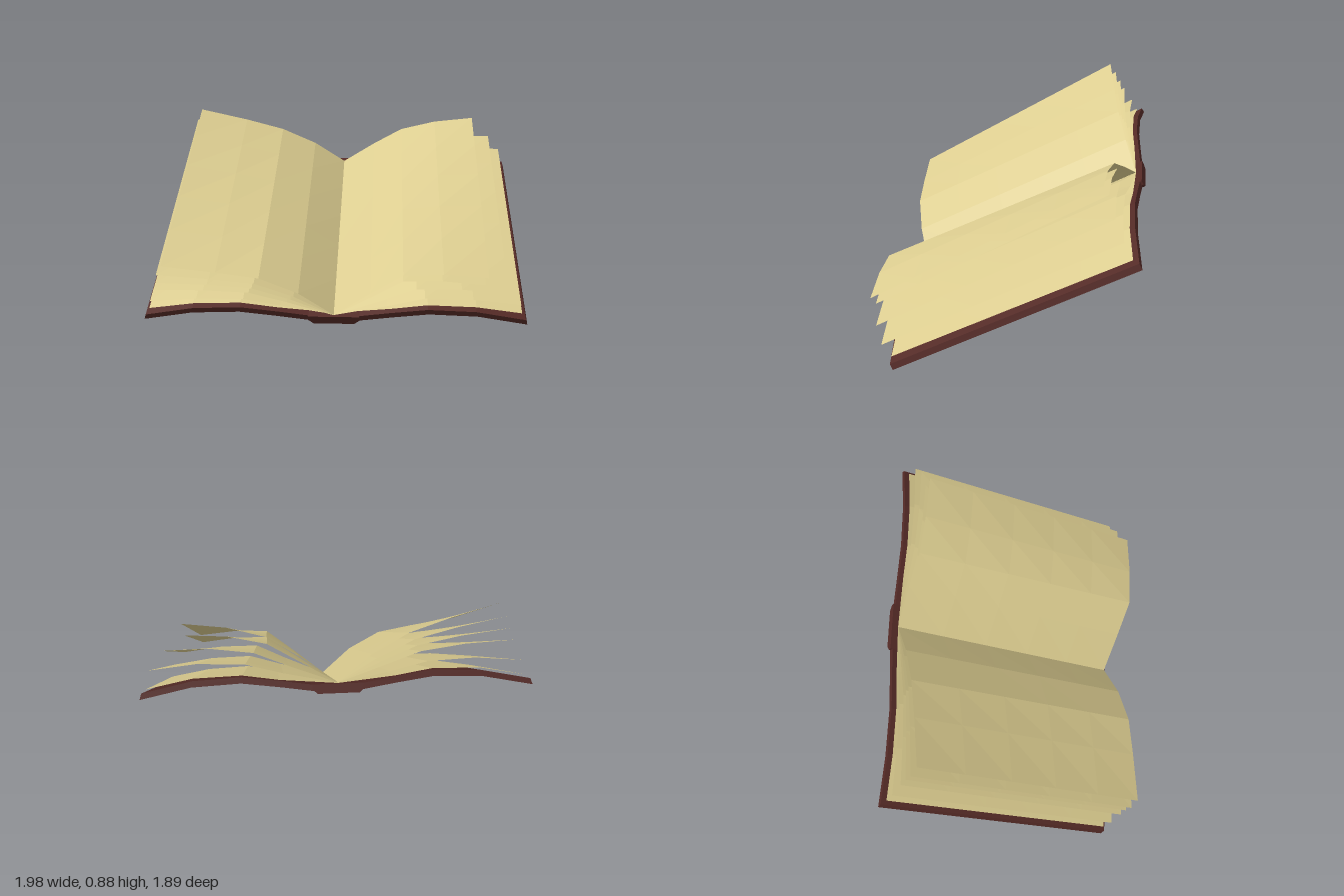
import * as THREE from 'three';

const LENGTH = 1.184; // along the spine
const paper = new THREE.MeshStandardMaterial({ color: 0xdccd90, flatShading: true, side: THREE.DoubleSide });
const leather = new THREE.MeshStandardMaterial({ color: 0x542a26, flatShading: true });
const lerp = THREE.MathUtils.lerp;

// Solid with a constant outline, running back from z = front
function prism(name, points, front, length) {
  const shape = new THREE.Shape(points.map(([x, y]) => new THREE.Vector2(x, y)));
  const geometry = new THREE.ExtrudeGeometry(shape, { depth: length, bevelEnabled: false });
  geometry.translate(0, 0, front - length);
  const mesh = new THREE.Mesh(geometry, leather);
  mesh.name = name;
  return mesh;
}

// Page profiles from spine to outer edge: [distance, height at front, height at back]
const bottomPage = [[0, 0.042, 0.042], [0.25, 0.07, 0.065], [0.41, 0.095, 0.09], [0.62, 0.087, 0.085], [0.82, 0.054, 0.047]];
const topPages = {
  left: [[0, 0.045, 0.045], [0.15, 0.171, 0.16], [0.316, 0.256, 0.247], [0.5, 0.287, 0.305], [0.73, 0.318, 0.366]],
  right: [[0, 0.045, 0.045], [0.16, 0.175, 0.16], [0.3, 0.283, 0.25], [0.47, 0.29, 0.297], [0.66, 0.274, 0.32]],
};

// One curved sheet, t = 0 lies on the cover and t = 1 is the uppermost
function page(name, top, sign, t, extra) {
  const rows = 5;
  const geometry = new THREE.PlaneGeometry(1, 1, 4, rows);
  const pos = geometry.attributes.position;
  for (let r = 0; r <= rows; r++) {
    const v = r / rows;
    for (let c = 0; c <= 4; c++) {
      // keep the sheet's winding facing up on both sides
      const k = sign > 0 ? c : 4 - c;
      const [a, b] = [bottomPage[k], top[k]];
      const x = lerp(a[0], b[0], t) + extra * k / 4;
      const front = lerp(a[1], b[1], t), back = lerp(a[2], b[2], t);
      const zBack = -LENGTH + 0.02, zFront = lerp(-0.018, 0, Math.min(1, t * 3));
      pos.setXYZ(r * 5 + c, sign * x, lerp(back, front, v), lerp(zBack, zFront, v));
    }
  }
  geometry.computeVertexNormals();
  const mesh = new THREE.Mesh(geometry, paper);
  mesh.name = name;
  return mesh;
}

export function createModel() {
  const group = new THREE.Group();
  group.name = 'openBook';
  const book = new THREE.Group();
  book.name = 'tiltedBook';
  group.add(book);

  // Bent cover boards in one strip
  const half = [[0.11, 0.013], [0.245, 0.034], [0.415, 0.057], [0.627, 0.048], [0.845, 0.004]];
  const under = [...half.map(([x, y]) => [-x, y]).reverse(), ...half];
  const over = under.map(([x, y]) => [x * 0.99, y + 0.027]).reverse();
  book.add(prism('cover', [...under, ...over], 0, LENGTH));

  // Raised spine strip beneath the cover
  book.add(prism('spine', [[-0.09, 0], [0.09, 0], [0.112, 0.02], [0.112, 0.041], [-0.112, 0.041], [-0.112, 0.02]], 0.008, LENGTH + 0.018));

  // Fanned pages: [lift, extra width]
  const fans = {
    left: [[0, 0], [0.2, 0.005], [0.48, 0], [0.64, 0], [0.81, 0.01], [1, 0]],
    right: [[0, 0], [0.29, 0.035], [0.59, 0.025], [0.82, -0.04], [1, 0]],
  };
  for (const [side, sign] of [['left', -1], ['right', 1]]) {
    const stack = new THREE.Group();
    stack.name = sign > 0 ? 'rightHandPages' : 'leftHandPages';
    fans[side].forEach(([t, extra], i) => stack.add(page('page' + (i + 1), topPages[side], sign, t, extra)));
    book.add(stack);
  }

  // Tilted back and turned to one side
  book.rotation.order = 'YXZ';
  book.rotation.y = THREE.MathUtils.degToRad(35.9);
  book.rotation.x = THREE.MathUtils.degToRad(28.75);
  book.position.set(0.294, 0.004, 0.385);
  return group;
}
